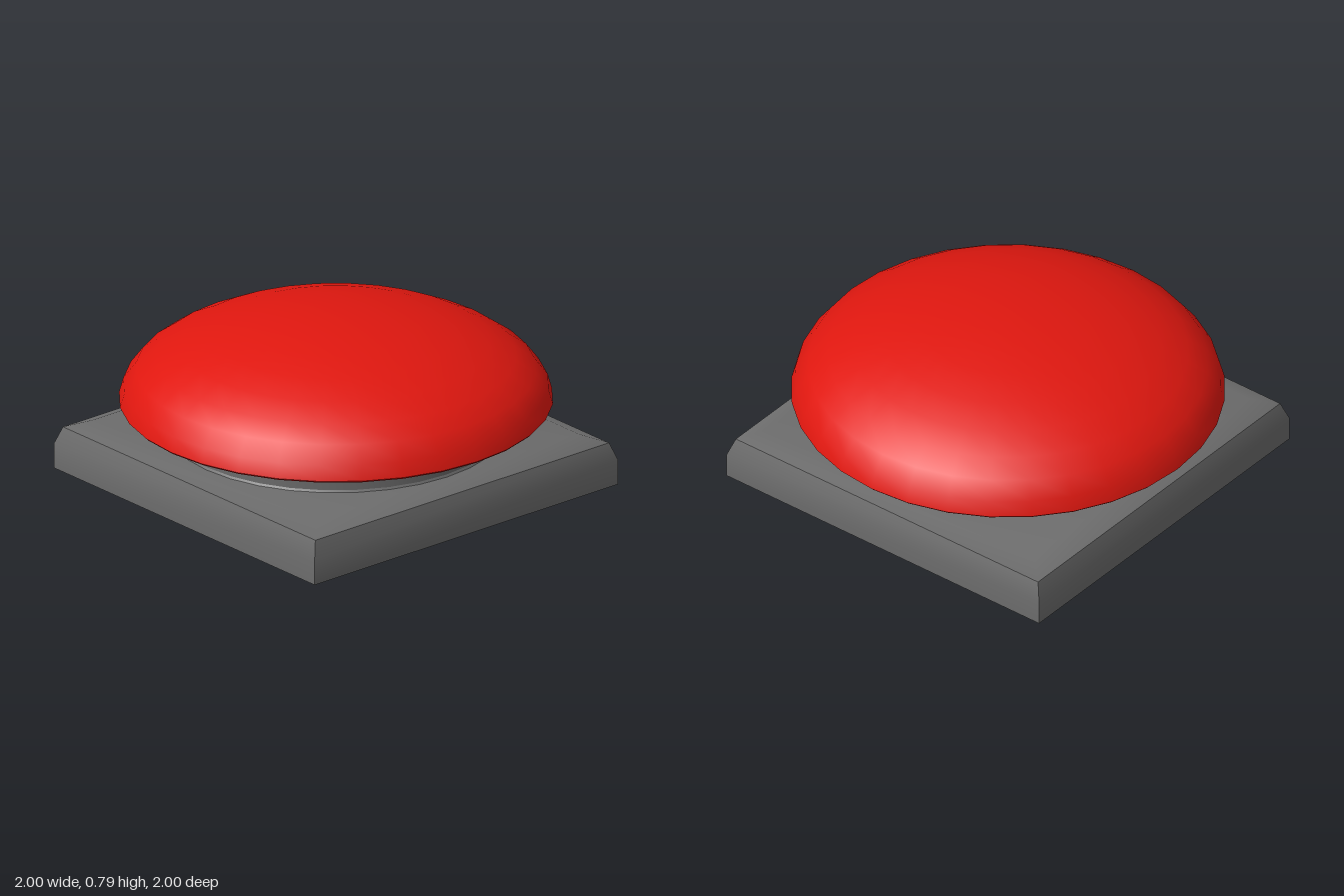
import * as THREE from 'three';
import { toCreasedNormals } from 'three/addons/utils/BufferGeometryUtils.js';

const SIDES = 32;

// Revolve [radius, height] pairs, keeping hard edges sharp
function revolve(points, crease) {
  const profile = points.map(([r, y]) => new THREE.Vector2(r, y));
  return toCreasedNormals(new THREE.LatheGeometry(profile, SIDES), crease);
}

// Stack of square sections [half width, height], closed at both ends
function squareStack(sections) {
  const positions = [];
  const index = [];
  for (const [w, y] of sections) {
    positions.push(w, y, w, w, y, -w, -w, y, -w, -w, y, w);
  }
  for (let s = 0; s < sections.length - 1; s++) {
    for (let i = 0; i < 4; i++) {
      const a = s * 4 + i, b = s * 4 + (i + 1) % 4;
      index.push(a, b, b + 4, a, b + 4, a + 4);
    }
  }
  const t = (sections.length - 1) * 4;
  index.push(t, t + 1, t + 2, t, t + 2, t + 3, 0, 2, 1, 0, 3, 2);
  const geometry = new THREE.BufferGeometry();
  geometry.setAttribute('position', new THREE.Float32BufferAttribute(positions, 3));
  geometry.setIndex(index);
  return toCreasedNormals(geometry, 0.7);
}

export function createModel() {
  const group = new THREE.Group();
  const grey = new THREE.MeshStandardMaterial({ color: 0x6b6b6b });
  const red = new THREE.MeshStandardMaterial({ color: 0xe0170f, side: THREE.DoubleSide });

  const add = (name, geometry, material) => {
    const mesh = new THREE.Mesh(geometry, material);
    mesh.name = name;
    group.add(mesh);
  };

  // Square base with a two-step bevel
  add('base', squareStack([[0.92, 0], [0.92, 0.12], [0.89, 0.205], [0.79, 0.245]]), grey);

  // Round neck with a slight flare at its foot
  add('neck', revolve([[0.79, 0.24], [0.78, 0.255], [0.78, 0.52]], 0.5), grey);

  // Hollow domed cap: inner shell, rim, then outer dome
  add('buttonCap', revolve([
    [0, 0.72], [0.4, 0.69], [0.68, 0.61], [0.87, 0.5], [0.95, 0.4], [0.955, 0.38],
    [0.99, 0.38], [1, 0.39], [0.98, 0.46], [0.92, 0.54], [0.83, 0.605],
    [0.71, 0.665], [0.56, 0.715], [0.385, 0.755], [0.195, 0.777], [0, 0.785],
  ], 0.9), red);

  return group;
}
